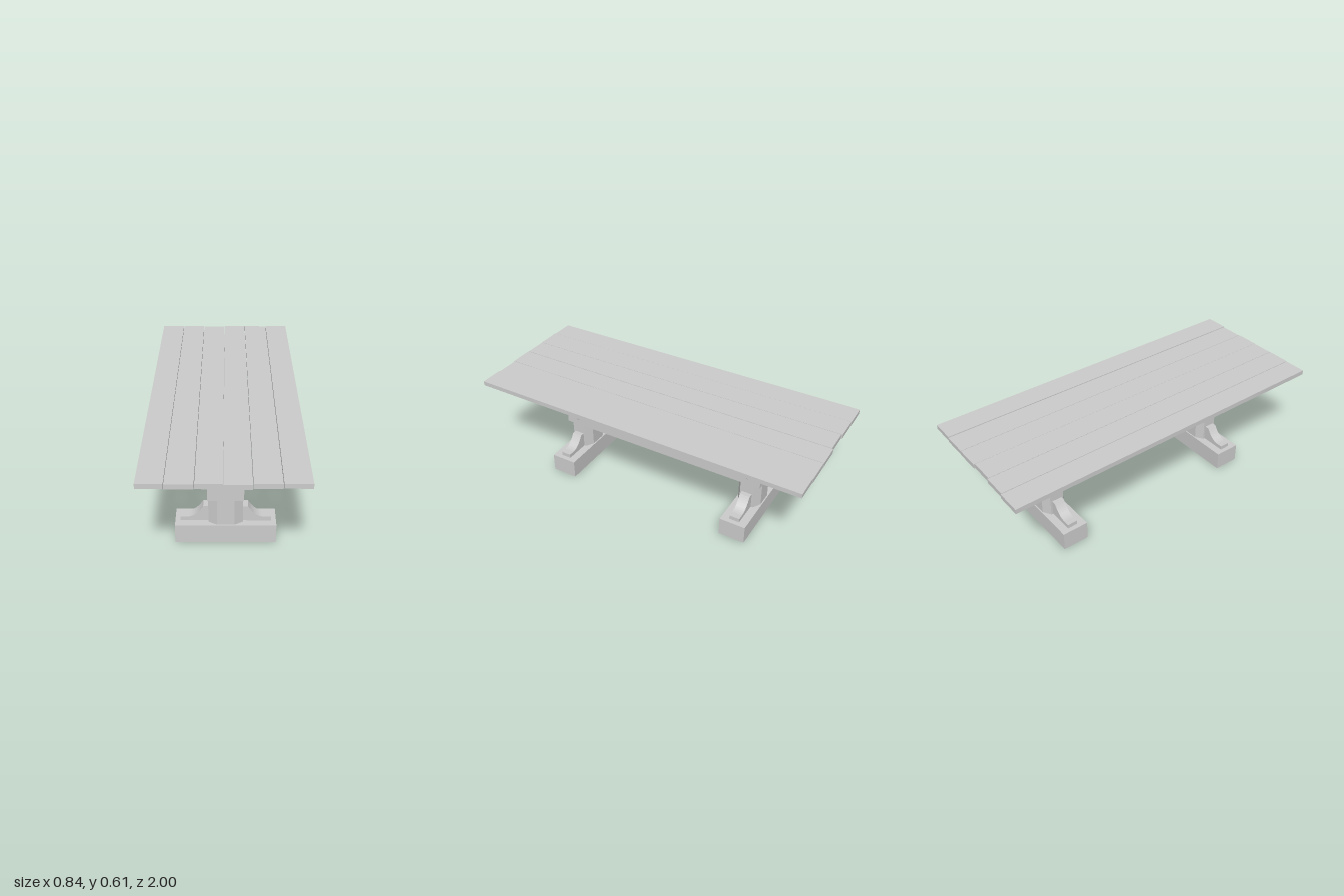
import * as THREE from 'three';

const material = new THREE.MeshStandardMaterial({ color: 0xcccccc, flatShading: true, side: THREE.DoubleSide });
const MID = 0.006; // the trestles sit slightly off centre

function add(parent, name, geometry) {
  const mesh = new THREE.Mesh(geometry, material);
  mesh.name = name;
  parent.add(mesh);
  return mesh;
}

// Box given by its extents, hollow underneath
function openBox(x0, x1, y0, y1, z0, z1) {
  const g = new THREE.BoxGeometry(x1 - x0, y1 - y0, z1 - z0);
  g.translate((x0 + x1) / 2, (y0 + y1) / 2, (z0 + z1) / 2);
  const index = Array.from(g.index.array);
  index.splice(18, 6);
  g.setIndex(index);
  g.clearGroups();
  return g;
}

// Hand-cut board: [back x0, x1], [front x0, x1], [bottom, top], [back z, front z]
function plank([bx0, bx1], [fx0, fx1], [y0, y1], [z0, z1]) {
  const g = openBox(0, 1, y0, y1, z0, z1);
  const p = g.attributes.position;
  for (let i = 0; i < p.count; i++) {
    const back = p.getZ(i) < 0;
    const right = p.getX(i) > 0.5;
    p.setX(i, back ? (right ? bx1 : bx0) : (right ? fx1 : fx0));
  }
  g.computeVertexNormals();
  return g;
}

// Chamfered eight-sided post
function postGeometry() {
  const hx = 0.092, hz = 0.07, cx = 0.046, cz = 0.042;
  const outline = [[hx, -cz], [hx, cz], [cx, hz], [-cx, hz], [-hx, cz], [-hx, -cz], [-cx, -hz], [cx, -hz]];
  const shape = new THREE.Shape(outline.map(([x, y]) => new THREE.Vector2(x, y)));
  return new THREE.ExtrudeGeometry(shape, { depth: 0.461, bevelEnabled: false })
    .rotateX(-Math.PI / 2).translate(0, 0.11, 0);
}

// Concave brace on both sides of the post
function braceGeometry() {
  const s = new THREE.Shape();
  s.moveTo(-0.242, 0.11);
  s.lineTo(0.242, 0.11);
  s.lineTo(0.242, 0.134);
  s.lineTo(0.205, 0.134);
  s.bezierCurveTo(0.165, 0.136, 0.14, 0.165, 0.119, 0.201);
  s.lineTo(-0.119, 0.201);
  s.bezierCurveTo(-0.14, 0.165, -0.165, 0.136, -0.205, 0.134);
  s.lineTo(-0.242, 0.134);
  s.closePath();
  return new THREE.ExtrudeGeometry(s, { depth: 0.06, bevelEnabled: false, curveSegments: 8 })
    .translate(0, 0, -0.03);
}

export function createModel() {
  const model = new THREE.Group();
  model.name = 'trestleTable';

  // Tabletop boards with slightly uneven edges
  const top = new THREE.Group();
  top.name = 'tabletop';
  model.add(top);
  const seamsBack = [-0.422, -0.282, -0.143, -0.002, 0.136, 0.28, 0.418];
  const seamsFront = [-0.414, -0.28, -0.139, -0.006, 0.132, 0.272, 0.41];
  const heights = [[0.575, 0.602], [0.576, 0.603], [0.575, 0.603], [0.575, 0.602], [0.575, 0.602], [0.579, 0.605]];
  const ends = [[-1, 0.995], [-0.995, 0.998], [-0.988, 0.996], [-0.995, 1], [-0.994, 0.994], [-0.992, 0.997]];
  const gap = 0.0012;
  for (let i = 0; i < 6; i++) {
    add(top, 'plank', plank(
      [seamsBack[i] + gap, seamsBack[i + 1] - gap],
      [seamsFront[i] + gap, seamsFront[i + 1] - gap],
      heights[i], ends[i]));
  }

  // Two trestles: foot, brace, post and pegs
  for (const [name, z] of [['frontTrestle', 0.567], ['backTrestle', -0.581]]) {
    const trestle = new THREE.Group();
    trestle.name = name;
    trestle.position.set(MID, 0, z);
    model.add(trestle);
    add(trestle, 'foot', openBox(-0.269, 0.269, 0, 0.11, -0.077, 0.077));
    add(trestle, 'brace', braceGeometry());
    add(trestle, 'post', postGeometry());
    for (const side of [-1, 1]) {
      const peg = add(trestle, 'peg', new THREE.SphereGeometry(0.016, 10, 6));
      peg.scale.x = 0.35;
      peg.position.set(side * 0.095, 0.315, 0);
    }
  }

  // Stretcher passing around both posts
  add(model, 'stretcher', openBox(MID - 0.096, MID + 0.096, 0.265, 0.366, -0.656, 0.642));
  return model;
}
